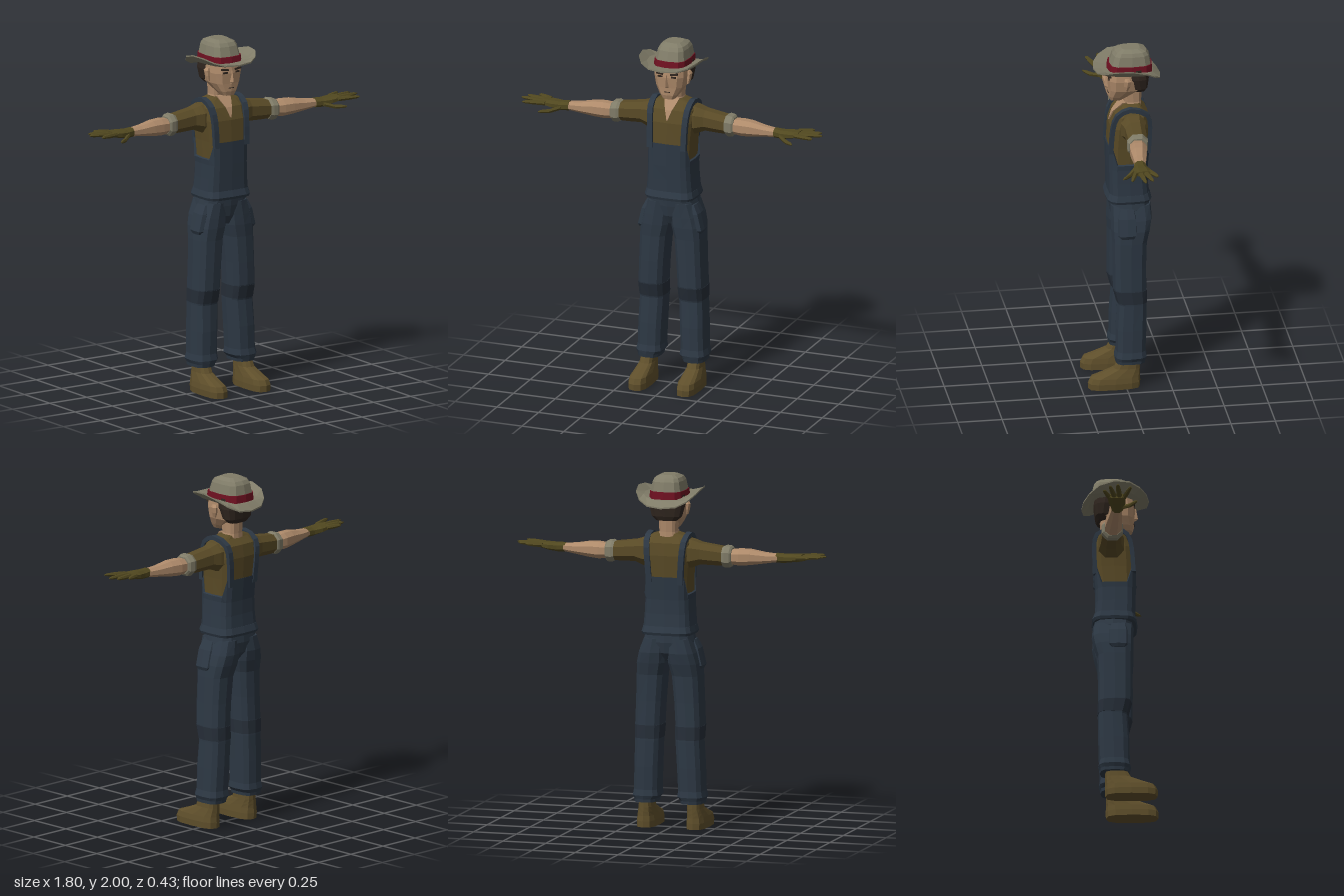
import * as THREE from 'three';

const mat = (color) => new THREE.MeshStandardMaterial({ color, flatShading: true, roughness: 0.9 });
const DENIM = mat(0x2d3844), DENIM_DARK = mat(0x262e38), SHIRT = mat(0x594a26), SKIN = mat(0xae8a6a);
const GLOVE = mat(0x51481f), BOOT = mat(0x5f4f2b), FELT = mat(0x807c68), BAND = mat(0x6e1020), HAIR = mat(0x30261f);

const V = (x, y, z) => new THREE.Vector3(x, y, z);
const pw = (c, p) => Math.sign(c) * Math.abs(c) ** (2 / p);

// Horizontal rounded-box cross-section given by its bounds
function ring(y, x0, x1, z0, z1, p = 3, n = 12) {
  return Array.from({ length: n }, (_, i) => {
    const a = (i / n) * Math.PI * 2;
    return V((x0 + x1) / 2 + pw(Math.cos(a), p) * (x1 - x0) / 2, y, (z0 + z1) / 2 + pw(Math.sin(a), p) * (z1 - z0) / 2);
  });
}
// Cross-section across the x axis, used for arms and fingers
function armRing(x, y0, y1, z0, z1, n = 8) {
  return Array.from({ length: n }, (_, i) => {
    const a = ((i + 0.5) / n) * Math.PI * 2;
    return V(x, (y0 + y1) / 2 + pw(Math.cos(a), 2.3) * (y1 - y0) / 2, (z0 + z1) / 2 + pw(Math.sin(a), 2.3) * (z1 - z0) / 2);
  });
}

// Skin a closed, capped surface over cross-sections; s = -1 mirrors it to the other side
function loft(group, name, material, rings, s = 1) {
  const n = rings[0].length, pts = rings.flat(), idx = [];
  rings.forEach((r, k) => {
    if (k === rings.length - 1) return;
    for (let i = 0; i < n; i++) {
      const j = (i + 1) % n, a = k * n + i, b = k * n + j;
      idx.push(a, b, b + n, a, b + n, a + n);
    }
  });
  [0, rings.length - 1].forEach((k) => {
    const c = pts.length;
    const mid = rings[k].reduce((m, v) => m.add(v), V(0, 0, 0)).divideScalar(n);
    pts.push(mid);
    for (let i = 0; i < n; i++) {
      const a = k * n + i, b = k * n + (i + 1) % n;
      idx.push(...(k ? [a, b, c] : [b, a, c]));
    }
  });
  const P = pts.map((v) => V(v.x * s, v.y, v.z));
  // Turn the faces outwards when the enclosed volume comes out negative
  let vol = 0;
  for (let i = 0; i < idx.length; i += 3) vol += P[idx[i]].dot(P[idx[i + 1]].clone().cross(P[idx[i + 2]]));
  if (vol < 0) idx.reverse();
  const g = new THREE.BufferGeometry().setFromPoints(P);
  g.setIndex(idx);
  const flat = g.toNonIndexed();
  flat.computeVertexNormals();
  const mesh = new THREE.Mesh(flat, material);
  mesh.name = name;
  group.add(mesh);
  return mesh;
}

function buildTorso(g) {
  const t = (y, x, z1, z0) => ring(y, -x, x, z0, z1, 4, 16);
  loft(g, 'shirt', SHIRT, [t(1.2, 0.122, 0.075, -0.13), t(1.33, 0.122, 0.08, -0.13), t(1.43, 0.125, 0.082, -0.142),
    t(1.55, 0.135, 0.075, -0.15), t(1.62, 0.135, 0.05, -0.14), t(1.655, 0.115, 0.015, -0.105), t(1.672, 0.06, 0, -0.095)]);
  // The bib is high at front and back and dips under the arms
  const top = t(1.43, 0.132, 0.09, -0.15);
  top.forEach((v) => { if (Math.abs(v.x) > 0.115) v.y = 1.33; });
  loft(g, 'overallBib', DENIM, [t(1.14, 0.14, 0.085, -0.145), t(1.22, 0.134, 0.086, -0.138), t(1.3, 0.13, 0.088, -0.138), top]);
  loft(g, 'waistHem', DENIM, [t(1.1, 0.143, 0.093, -0.152), t(1.115, 0.149, 0.098, -0.158), t(1.15, 0.14, 0.086, -0.146)]);
  loft(g, 'pelvis', DENIM, [ring(0.95, -0.06, 0.06, -0.1, 0.04), ring(1.0, -0.13, 0.13, -0.14, 0.065),
    ring(1.06, -0.145, 0.145, -0.152, 0.075), ring(1.12, -0.13, 0.13, -0.148, 0.08)]);
  // Open collar
  const vee = (y, x, z) => [V(-x, y, z), V(x, y, z), V(x, y, z - 0.04), V(-x, y, z - 0.04)];
  loft(g, 'openCollar', SKIN, [vee(1.678, 0.044, 0.003), vee(1.655, 0.036, 0.024), vee(1.62, 0.02, 0.056), vee(1.565, 0.002, 0.078)]);
}

function buildHead(g) {
  loft(g, 'neck', SKIN, [ring(1.62, -0.065, 0.065, -0.11, 0.0), ring(1.68, -0.05, 0.05, -0.108, -0.008), ring(1.78, -0.055, 0.055, -0.115, 0.01)]);
  loft(g, 'head', SKIN, [ring(1.69, -0.036, 0.036, 0.0, 0.07), ring(1.715, -0.055, 0.055, -0.04, 0.078), ring(1.76, -0.084, 0.084, -0.11, 0.08),
    ring(1.82, -0.096, 0.096, -0.135, 0.086), ring(1.9, -0.09, 0.09, -0.135, 0.075)]);
  loft(g, 'hair', HAIR, [ring(1.745, -0.06, 0.06, -0.128, -0.06), ring(1.77, -0.088, 0.088, -0.14, -0.045),
    ring(1.83, -0.102, 0.102, -0.148, -0.02), ring(1.89, -0.098, 0.098, -0.146, 0.0)]);
  loft(g, 'nose', SKIN, [[V(-0.016, 1.758, 0.07), V(0.016, 1.758, 0.07), V(0, 1.762, 0.09)],
    [V(-0.016, 1.77, 0.07), V(0.016, 1.77, 0.07), V(0, 1.772, 0.101)], [V(-0.008, 1.835, 0.07), V(0.008, 1.835, 0.07), V(0, 1.835, 0.089)]]);
  const box = (name, m, w, h, d, x, y, z) => {
    const b = new THREE.Mesh(new THREE.BoxGeometry(w, h, d), m);
    b.position.set(x, y, z);
    b.name = name;
    g.add(b);
    return b;
  };
  box('mouth', HAIR, 0.035, 0.004, 0.01, 0, 1.735, 0.075);
  for (const s of [1, -1]) {
    box('eyebrow', HAIR, 0.042, 0.01, 0.02, s * 0.042, 1.842, 0.074).rotation.z = s * 0.12;
    box('eye', HAIR, 0.028, 0.01, 0.015, s * 0.04, 1.825, 0.074);
    loft(g, 'ear', SKIN, [ring(1.77, 0.085, 0.1, -0.02, 0.0, 2, 6), ring(1.8, 0.085, 0.11, -0.035, 0.004, 2, 6),
      ring(1.83, 0.085, 0.115, -0.04, 0.004, 2, 6), ring(1.845, 0.085, 0.105, -0.03, 0.0, 2, 6)], s);
  }
}

function buildHat(g) {
  const c = (y, x, z0, z1) => ring(y, -x, x, z0, z1, 3.4);
  loft(g, 'hatBand', BAND, [c(1.87, 0.1, -0.17, 0.088), c(1.912, 0.097, -0.166, 0.08)]);
  loft(g, 'hatCrown', FELT, [c(1.905, 0.094, -0.162, 0.075), c(1.965, 0.083, -0.15, 0.055), c(1.985, 0.073, -0.135, 0.04), c(2.0, 0.045, -0.1, 0.005)]);
  // Brim curls up at the sides and droops at the back
  const brim = (k, lift) => Array.from({ length: 16 }, (_, i) => {
    const a = (i / 16) * Math.PI * 2, cx = Math.cos(a), sz = Math.sin(a);
    const out = 0.865 + 0.025 * sz + 0.07 * Math.abs(cx) ** 2.5 - 0.012;
    const y = 1 + THREE.MathUtils.lerp(0.872, out, k * k) + lift;
    const r = 0.5 + 0.5 * k;
    return V(pw(cx, 2.4) * 0.187 * r, y, -0.027 + pw(sz, 2.4) * 0.188 * r);
  });
  loft(g, 'hatBrim', FELT, [brim(0, -0.008), brim(0.55, -0.008), brim(1, -0.004), brim(1, 0.004), brim(0.55, 0.006), brim(0, 0.006)]);
}

function buildArm(g, s) {
  loft(g, 'sleeve', SHIRT, [armRing(0.09, 1.47, 1.65, -0.125, 0.03), armRing(0.14, 1.475, 1.642, -0.12, 0.03), armRing(0.19, 1.497, 1.625, -0.108, 0.015),
    armRing(0.26, 1.495, 1.615, -0.102, 0.015), armRing(0.33, 1.495, 1.605, -0.096, 0.015)], s);
  loft(g, 'rolledCuff', FELT, [armRing(0.315, 1.492, 1.607, -0.098, 0.018), armRing(0.33, 1.484, 1.614, -0.102, 0.024),
    armRing(0.358, 1.486, 1.61, -0.098, 0.026), armRing(0.368, 1.5, 1.6, -0.088, 0.018)], s);
  loft(g, 'forearm', SKIN, [armRing(0.35, 1.505, 1.59, -0.08, 0.012), armRing(0.41, 1.498, 1.597, -0.082, 0.02), armRing(0.47, 1.503, 1.595, -0.072, 0.022),
    armRing(0.55, 1.515, 1.58, -0.055, 0.02), armRing(0.65, 1.53, 1.57, -0.035, 0.02)], s);
  loft(g, 'glovePalm', GLOVE, [armRing(0.615, 1.523, 1.577, -0.04, 0.025), armRing(0.66, 1.522, 1.574, -0.043, 0.035),
    armRing(0.71, 1.53, 1.576, -0.058, 0.045), armRing(0.765, 1.545, 1.576, -0.06, 0.045)], s);
  // Fingers: knuckle x, knuckle z, tip x, tip z, drop at the tip
  const fingers = [[0.74, -0.047, 0.825, -0.078, 0], [0.75, -0.02, 0.88, -0.043, 0], [0.75, 0.008, 0.9, 0, 0], [0.745, 0.034, 0.868, 0.072, 0], [0.655, 0.025, 0.76, 0.105, 0.035]];
  fingers.forEach(([x0, z0, x1, z1, drop], i) => {
    const secs = [[0, 0.015], [0.5, 0.014], [0.88, 0.01], [1, 0.004]].map(([t, r]) => {
      const x = x0 + (x1 - x0) * t, z = z0 + (z1 - z0) * t, y = 1.56 + 0.006 * t - drop * Math.min(1, 0.5 + t);
      return armRing(x, y - r * 0.85, y + r * 0.85, z - r, z + r, 6);
    });
    loft(g, i === 4 ? 'thumb' : 'finger', GLOVE, secs, s);
  });
}

function buildStrap(g, s) {
  const path = new THREE.CatmullRomCurve3([V(0.1, 1.4, 0.078), V(0.101, 1.45, 0.074), V(0.104, 1.55, 0.066), V(0.11, 1.625, 0.042), V(0.112, 1.662, -0.03),
    V(0.108, 1.625, -0.126), V(0.1, 1.55, -0.142), V(0.093, 1.45, -0.138), V(0.09, 1.39, -0.135)]);
  const rings = path.getPoints(16).map((p, i) => {
    const d = path.getTangent(i / 16), out = V(0, -d.z, d.y).normalize().multiplyScalar(0.012);
    return [[-1, -1], [1, -1], [1, 1], [-1, 1]].map(([u, v]) => V(p.x + u * 0.016, p.y + v * out.y, p.z + v * out.z));
  });
  loft(g, 'strap', DENIM, rings, s);
}

function buildLeg(g, s) {
  loft(g, 'trouserLeg', DENIM, [ring(1.08, 0.0, 0.135, -0.15, 0.075), ring(1.0, -0.002, 0.165, -0.156, 0.075), ring(0.94, 0.002, 0.18, -0.145, 0.075),
    ring(0.87, 0.02, 0.185, -0.126, 0.07), ring(0.72, 0.033, 0.19, -0.12, 0.07), ring(0.59, 0.04, 0.195, -0.12, 0.068), ring(0.5, 0.042, 0.193, -0.122, 0.045),
    ring(0.35, 0.05, 0.199, -0.12, 0.055), ring(0.215, 0.055, 0.202, -0.114, 0.056)], s);
  loft(g, 'kneePatch', DENIM_DARK, [ring(0.585, 0.038, 0.197, -0.122, 0.069), ring(0.51, 0.04, 0.195, -0.124, 0.05)], s);
  loft(g, 'trouserCuff', DENIM, [ring(0.22, 0.055, 0.202, -0.114, 0.056), ring(0.185, 0.05, 0.21, -0.12, 0.064), ring(0.165, 0.068, 0.2, -0.113, 0.06),
    ring(0.147, 0.07, 0.198, -0.11, 0.056)], s);
  loft(g, 'sidePocket', DENIM, [ring(0.905, 0.15, 0.184, -0.045, 0.03, 5, 8), ring(0.925, 0.14, 0.193, -0.06, 0.045, 5, 8),
    ring(1.02, 0.12, 0.17, -0.06, 0.045, 5, 8), ring(1.07, 0.1, 0.145, -0.05, 0.035, 5, 8)], s);
  loft(g, 'boot', BOOT, [ring(0, 0.088, 0.2, -0.08, 0.212), ring(0.035, 0.088, 0.202, -0.082, 0.214), ring(0.065, 0.092, 0.197, -0.08, 0.2),
    ring(0.088, 0.096, 0.19, -0.08, 0.135), ring(0.115, 0.1, 0.182, -0.08, 0.068), ring(0.18, 0.104, 0.176, -0.08, 0.035)], s);
}

export function createModel() {
  const model = new THREE.Group();
  model.name = 'farmWorker';
  const part = (name, build, s) => {
    const g = new THREE.Group();
    g.name = name;
    build(g, s);
    model.add(g);
  };
  part('torso', buildTorso);
  part('headGroup', buildHead);
  part('hat', buildHat);
  for (const [side, s] of [['left', 1], ['right', -1]]) {
    part(side + 'Arm', buildArm, s);
    part(side + 'Strap', buildStrap, s);
    part(side + 'Leg', buildLeg, s);
  }
  return model;
}
